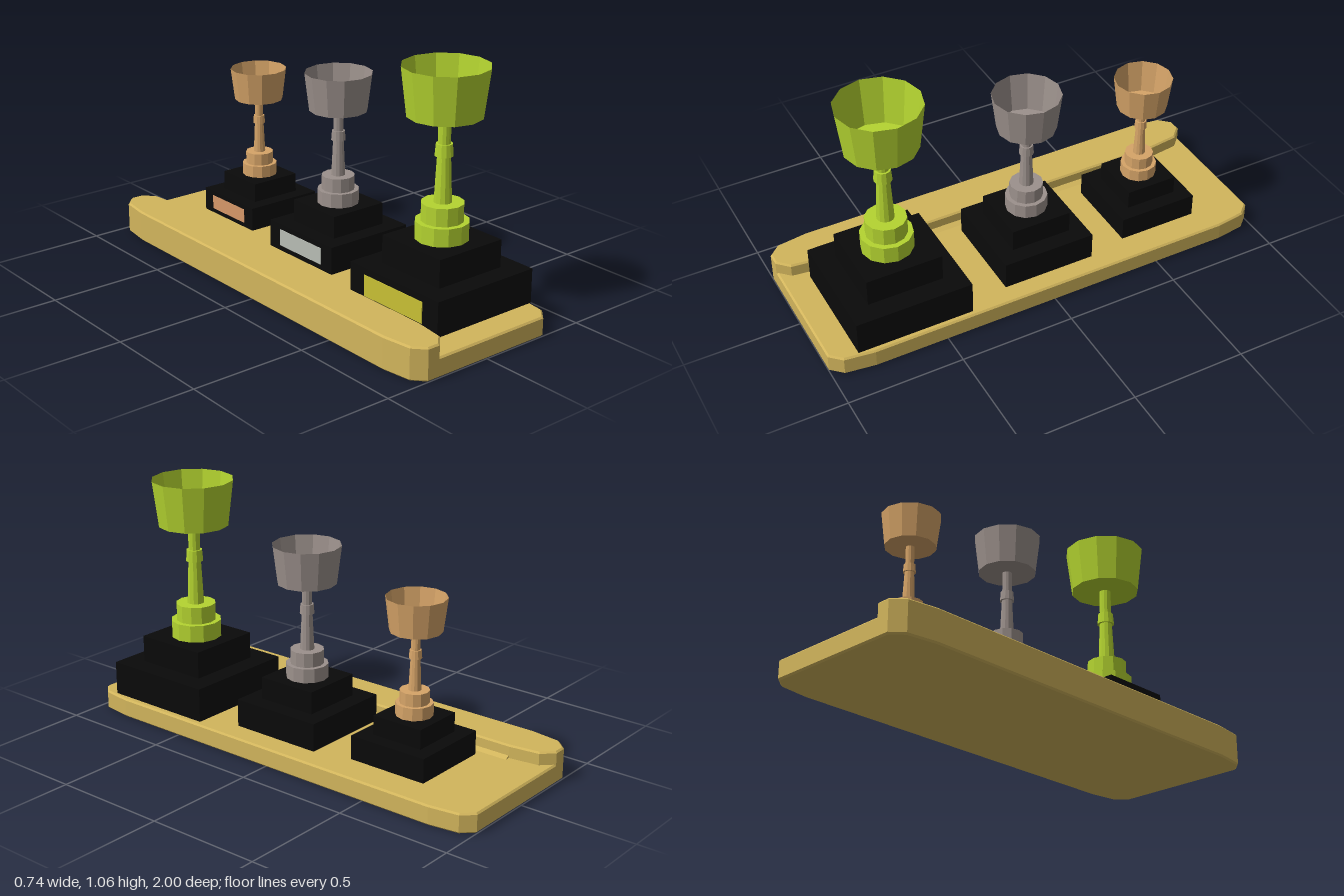
import * as THREE from 'three';

const mat = (color, extra = {}) => new THREE.MeshStandardMaterial({ color, ...extra });

// Flat slab with bevelled edges, extruded upward from y0 to y1; outline in (x, z)
function slab(name, outline, y0, y1, bevel, material) {
  const shape = new THREE.Shape(outline.map(([x, z]) => new THREE.Vector2(x, -z)));
  const geo = new THREE.ExtrudeGeometry(shape, {
    depth: y1 - y0 - 2 * bevel, bevelEnabled: true, bevelSegments: 1,
    bevelSize: bevel, bevelThickness: bevel, bevelOffset: -bevel,
  });
  geo.rotateX(-Math.PI / 2).translate(0, y0 + bevel, 0);
  const mesh = new THREE.Mesh(geo, material);
  mesh.name = name;
  return mesh;
}

function box(name, w, h, d, x, y, z, material) {
  const mesh = new THREE.Mesh(new THREE.BoxGeometry(w, h, d), material);
  mesh.position.set(x, y, z);
  mesh.name = name;
  return mesh;
}

// Mirror one end of an outline to the other end
const mirrorEnds = (pts) => [...pts, ...pts.map(([x, z]) => [x, -z]).reverse()];

// Foot, stem, collar and open bowl in one hollow profile (radius, height)
const CUP = [
  [0.11, 0.265], [0.11, 0.34], [0.087, 0.34], [0.087, 0.415],
  [0.037, 0.415], [0.028, 0.605], [0.038, 0.605], [0.034, 0.655], [0.026, 0.655],
  [0.026, 0.767], [0.152, 0.767], [0.177, 0.967],
].map(([r, y]) => new THREE.Vector2(r, y));

function trophy(name, cupColor, plaqueColor, scale, y, z) {
  const g = new THREE.Group();
  g.name = name;
  const black = mat(0x0a0a0a);
  g.add(box('lowerPlinth', 0.507, 0.147, 0.507, 0, 0.0735, 0, black));
  g.add(box('upperPlinth', 0.33, 0.118, 0.33, 0, 0.206, 0, black));
  g.add(box('plaque', 0.006, 0.09, 0.335, -0.2535, 0.0735, 0, mat(plaqueColor)));
  const cup = new THREE.Mesh(
    new THREE.LatheGeometry(CUP, 12),
    mat(cupColor, { flatShading: true, side: THREE.DoubleSide }),
  );
  cup.name = 'cup';
  g.add(cup);
  g.scale.setScalar(scale);
  g.position.set(0.1, y, z);
  return g;
}

export function createModel() {
  const model = new THREE.Group();
  model.name = 'trophyShelf';
  const wood = mat(0xd2b55c);

  // Shelf board with cut corners
  const board = mirrorEnds([
    [-0.37, 0.82], [-0.352, 0.95], [-0.305, 1], [0.305, 1], [0.352, 0.95], [0.37, 0.82],
  ]);
  model.add(slab('shelfBoard', board, 0, 0.084, 0.007, wood));

  // Raised rail along one long side
  const rail = mirrorEnds([
    [-0.37, 0.82], [-0.352, 0.95], [-0.305, 1], [-0.25, 1], [-0.2, 0.95], [-0.183, 0.82],
  ]);
  model.add(slab('shelfRail', rail, 0.05, 0.14, 0.007, wood));

  // Small sloped fillet where the rail meets the board
  const wedge = new THREE.Shape([[-0.19, 0.08], [-0.16, 0.084], [-0.183, 0.094], [-0.19, 0.094]]
    .map(([x, y]) => new THREE.Vector2(x, y)));
  const fillet = new THREE.Mesh(
    new THREE.ExtrudeGeometry(wedge, { depth: 1.64, bevelEnabled: false }), wood);
  fillet.position.z = -0.82;
  fillet.name = 'railFillet';
  model.add(fillet);

  // Three trophies, largest at the front
  model.add(trophy('largeTrophy', 0xb4d430, 0xc8c034, 1, 0.09, 0.633));
  model.add(trophy('mediumTrophy', 0x9c918c, 0xb8bcb4, 0.81, 0.105, -0.002));
  model.add(trophy('smallTrophy', 0xd6a468, 0xd69868, 0.696, 0.112, -0.553));
  return model;
}
